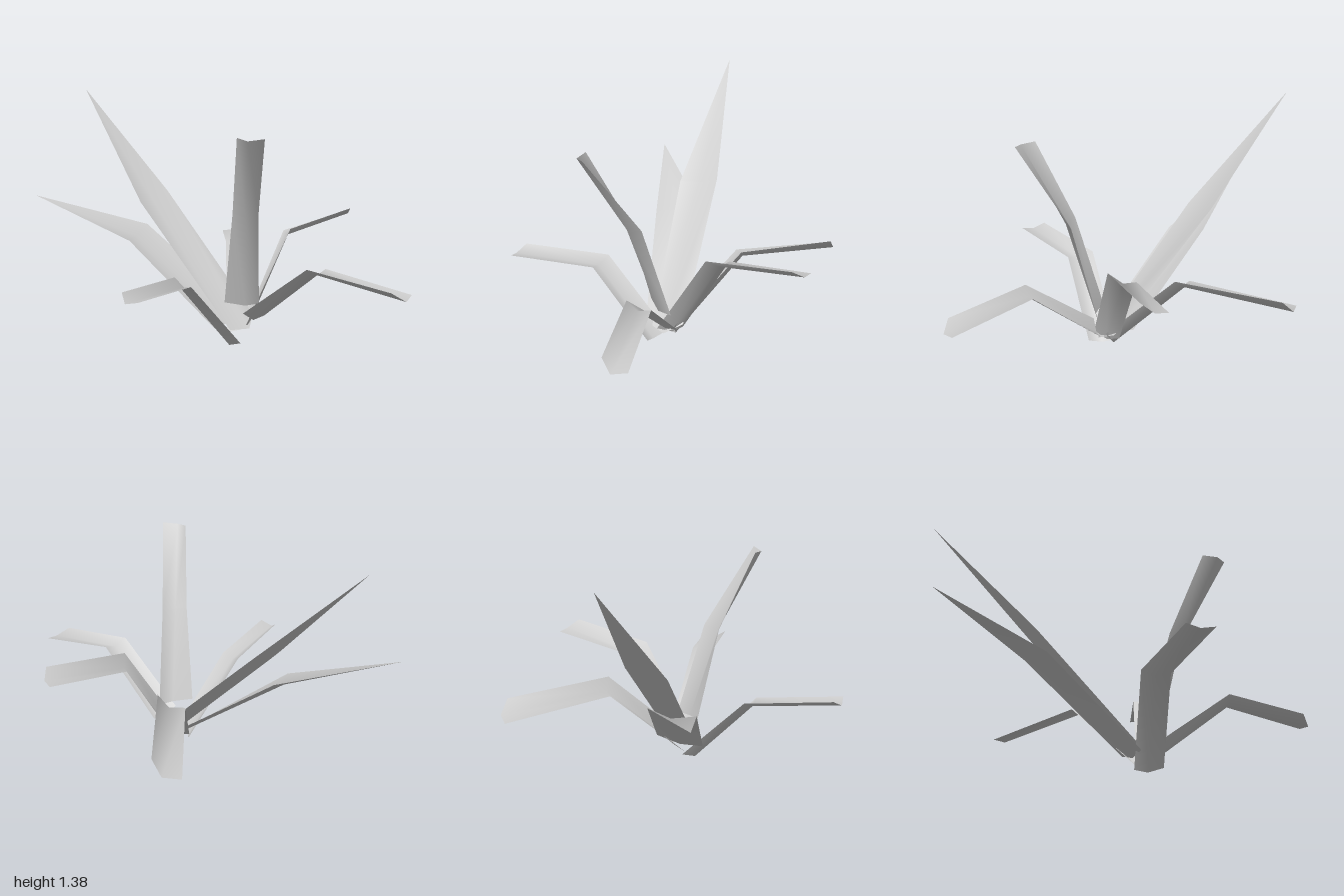
import * as THREE from 'three';

// One folded leaf: cross-sections from root to tip, each [left edge, midrib, right edge];
// a last section with a single point makes a pointed leaf.
function makeLeaf(name, material, sections) {
  const positions = sections.flat(2);
  const index = [];
  for (let s = 0; s < sections.length - 1; s++) {
    const a = s * 3;
    const b = a + 3;
    const pointed = sections[s + 1].length === 1;
    for (let i = 0; i < 2; i++) {
      if (pointed) {
        index.push(a + i, a + i + 1, b);
      } else {
        index.push(a + i, a + i + 1, b + i + 1, a + i, b + i + 1, b + i);
      }
    }
  }
  const geometry = new THREE.BufferGeometry();
  geometry.setAttribute('position', new THREE.Float32BufferAttribute(positions, 3));
  geometry.setIndex(index);
  geometry.computeVertexNormals();
  const mesh = new THREE.Mesh(geometry, material);
  mesh.name = name;
  return mesh;
}

export function createModel() {
  const group = new THREE.Group();
  group.name = 'plant';
  const leafGrey = new THREE.MeshStandardMaterial({ color: 0xcccccc, side: THREE.DoubleSide });
  leafGrey.name = 'leaf grey';
  const add = (name, ...sections) => group.add(makeLeaf(name, leafGrey, sections));

  // Two broad pointed leaves at the back
  add('tallPointedLeaf',
    [[-0.04, 0.09, 0.16], [0.07, 0.09, 0.18], [0.14, 0.14, 0.09]],
    [[-0.35, 0.75, -0.40], [-0.25, 0.75, -0.47], [-0.14, 0.79, -0.50]],
    [[-0.48, 1.38, -0.99]]);
  add('lowPointedLeaf',
    [[-0.12, 0.10, 0.13], [0, 0.10, 0.06], [0.11, 0.15, -0.02]],
    [[-0.46, 0.55, -0.30], [-0.38, 0.55, -0.41], [-0.28, 0.60, -0.48]],
    [[-0.87, 0.77, -0.79]]);

  // Narrow bent leaves with blunt tips
  add('rightBentLeaf',
    [[-0.01, 0.03, 0.23], [-0.04, 0, 0.15], [-0.01, 0.03, 0.07]],
    [[-0.35, 0.42, 0.33], [-0.38, 0.40, 0.26], [-0.38, 0.44, 0.18]],
    [[-0.75, 0.46, 0.61], [-0.79, 0.44, 0.54], [-0.78, 0.48, 0.47]]);
  add('leftBentLeaf',
    [[0.11, 0.10, 0.06], [0.09, 0.09, 0.13], [0.04, 0.12, 0.20]],
    [[0.39, 0.59, -0.01], [0.38, 0.58, 0.06], [0.35, 0.63, 0.14]],
    [[0.85, 0.64, -0.12], [0.86, 0.645, -0.05], [0.83, 0.69, 0.02]]);
  add('backBentLeaf',
    [[-0.02, 0.05, 0.08], [0.08, 0.06, 0.09], [0.12, 0.14, 0.14]],
    [[0.17, 0.48, -0.33], [0.25, 0.48, -0.29], [0.29, 0.535, -0.23]],
    [[0.41, 0.42, -0.88], [0.50, 0.43, -0.84], [0.525, 0.50, -0.77]]);
  add('frontBentLeaf',
    [[0.17, 0.15, 0.17], [0.09, 0.14, 0.19], [0.02, 0.19, 0.20]],
    [[0.34, 0.49, 0.54], [0.27, 0.47, 0.57], [0.20, 0.51, 0.58]],
    [[0.60, 0.42, 0.95], [0.53, 0.405, 1.0], [0.45, 0.455, 0.98]]);
  add('uprightLeaf',
    [[0.13, 0.23, 0.18], [0.04, 0.23, 0.19], [-0.065, 0.25, 0.14]],
    [[0.05, 0.77, 0.32], [-0.04, 0.76, 0.345], [-0.09, 0.78, 0.29]],
    [[-0.07, 1.21, 0.61], [-0.15, 1.20, 0.58], [-0.17, 1.21, 0.50]]);

  return group;
}
